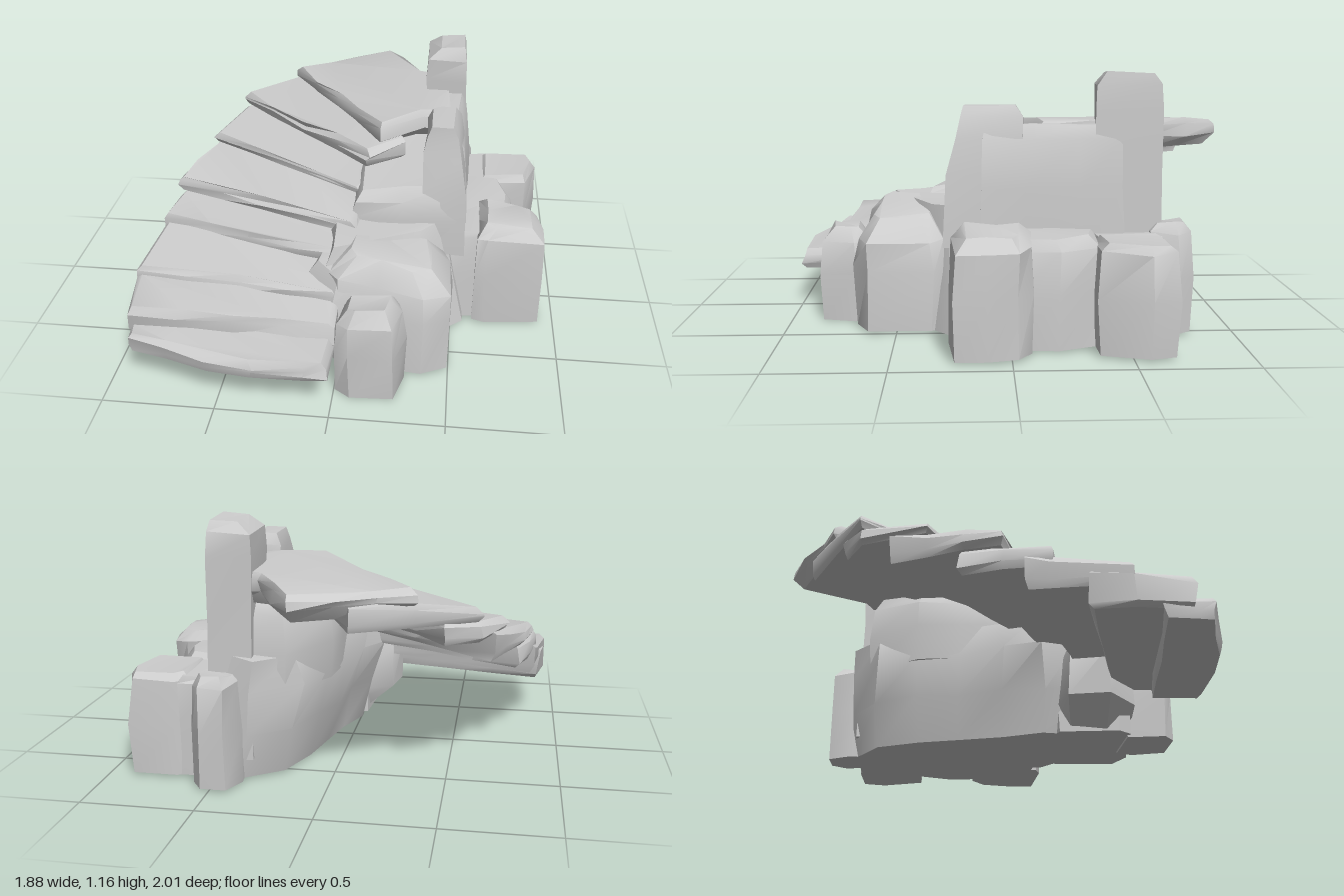
import * as THREE from 'three';
import { toCreasedNormals } from 'three/addons/utils/BufferGeometryUtils.js';

const stone = new THREE.MeshStandardMaterial({ color: 0xcccccc });

// seeded noise in -0.5..0.5
let seed = 7;
const noise = () => {
  seed = (seed * 16807) % 2147483647;
  return seed / 2147483647 - 0.5;
};

// Rough stone: an [x, z] outline lofted through rings { y, inset, dx, dz },
// slope tilts the upper rings as [base x, base z, rise per x, rise per z].
function stoneLoft(name, outline, rings, { rough = 0.02, cell = 0.22, slope = [0, 0, 0, 0] } = {}) {
  let pts = outline.map(([x, z]) => new THREE.Vector2(x, z));
  if (THREE.ShapeUtils.area(pts) < 0) pts.reverse();
  // split long edges and roughen them
  pts = pts.flatMap((p, i) => {
    const q = pts[(i + 1) % pts.length];
    const n = Math.max(1, Math.round(p.distanceTo(q) / cell));
    return Array.from({ length: n }, (_, k) => {
      const v = p.clone().lerp(q, k / n);
      return k ? v.add(new THREE.Vector2(noise() * rough * 1.5, noise() * rough * 1.5)) : v;
    });
  });
  const n = pts.length;
  const box = new THREE.Box2().setFromPoints(pts);
  const c = box.getCenter(new THREE.Vector2());
  const size = box.getSize(new THREE.Vector2());
  const pos = [], idx = [];
  rings.forEach(({ y, inset = 0, dx = 0, dz = 0 }, r) => {
    const kx = 1 - 2 * inset / size.x, kz = 1 - 2 * inset / size.y;
    pts.forEach(p => {
      const x = c.x + (p.x - c.x) * kx + dx, z = c.y + (p.y - c.y) * kz + dz;
      const wob = r === 0 ? 0 : rough;
      const tilt = r >= rings.length / 2 ? (x - slope[0]) * slope[2] + (z - slope[1]) * slope[3] : 0;
      pos.push(x + noise() * wob, y + tilt + noise() * wob, z + noise() * wob);
    });
  });
  for (let r = 0; r < rings.length - 1; r++) {
    for (let i = 0; i < n; i++) {
      const a = r * n + i, b = r * n + (i + 1) % n;
      idx.push(a, a + n, b, b, a + n, b + n);
    }
  }
  const top = (rings.length - 1) * n;
  THREE.ShapeUtils.triangulateShape(pts, []).forEach(([a, b, d]) => {
    idx.push(a, b, d, top + a, top + d, top + b);
  });
  const geo = new THREE.BufferGeometry();
  geo.setAttribute('position', new THREE.Float32BufferAttribute(pos, 3));
  geo.setIndex(idx);
  const mesh = new THREE.Mesh(toCreasedNormals(geo, 0.6), stone);
  mesh.name = name;
  return mesh;
}

// Boulder standing from y0 to y1 with a worn top edge
function boulder(name, outline, y0, y1, bevel = 0.05, opts = {}) {
  return stoneLoft(name, outline, [
    { y: y0, inset: 0.005 },
    { y: (y0 + y1) / 2 },
    { y: y1 - bevel, inset: 0.012 },
    { y: y1, inset: bevel }
  ], opts);
}

export function createModel() {
  seed = 7;
  const group = new THREE.Group();

  // Fan of steps: boundary lines from hub (inner) to rim (outer)
  const inner = [[0, 0.99], [0.0, 0.82], [0.0, 0.67], [0.0, 0.47], [0.05, 0.37], [0.05, 0.2], [0.08, 0.1], [0.15, 0.0], [0.38, -0.05]];
  const outer = [[-0.9, 0.87], [-0.91, 0.8], [-0.93, 0.56], [-0.89, 0.24], [-0.86, 0.04], [-0.75, -0.28], [-0.64, -0.57], [-0.38, -0.72], [0.1, -0.98]];
  const tops = [0.27, 0.35, 0.42, 0.51, 0.6, 0.69, 0.81];
  const bottoms = [0.18, 0.22, 0.32, 0.42, 0.53, 0.65, 0.74];
  const mix = (a, b, t) => [a[0] + (b[0] - a[0]) * t, a[1] + (b[1] - a[1]) * t];
  const steps = new THREE.Group();
  steps.name = 'steps';
  tops.forEach((top, i) => {
    // each slab runs on beneath the next one
    const outline = [inner[i], outer[i], outer[i + 1],
      mix(outer[i + 1], outer[i + 2], 0.55), mix(inner[i + 1], inner[i + 2], 0.4)];
    if (i === 0) outline.splice(1, 0, [-0.1, 1.0], [-0.53, 0.98]);
    // worn treads climb gently towards the next riser
    const front = mix(inner[i], outer[i], 0.6), back = mix(inner[i + 1], outer[i + 1], 0.6);
    const ex = back[0] - front[0], ez = back[1] - front[1], k = 0.035 / Math.max(0.06, ex * ex + ez * ez);
    steps.add(stoneLoft('step' + (i + 1), outline, [
      { y: bottoms[i], inset: 0.015 },
      { y: bottoms[i] + 0.03 },
      { y: top - 0.025 },
      { y: top, inset: 0.02 }
    ], { rough: 0.022, slope: [...front, ex * k, ez * k] }));
  });
  group.add(steps);

  // Landing at the top of the stair
  group.add(stoneLoft('landing',
    [[0.13, 0.02], [-0.38, -0.72], [-0.08, -0.91], [0.1, -1.0], [0.19, -0.84], [0.29, -0.66], [0.46, -0.6], [0.46, -0.14], [0.33, -0.12]], [
      { y: 0.8, inset: 0.06 }, { y: 0.85 }, { y: 0.9 }, { y: 0.925, inset: 0.025 }
    ], { slope: [0.1, -0.5, 0.05, 0.01] }));

  // Hub carrying the inner ends of the steps, flaring upwards
  group.add(stoneLoft('hub',
    [[-0.02, 0.6], [-0.04, 0.25], [0.08, -0.15], [0.2, -0.55], [0.4, -0.69], [0.55, -0.67], [0.55, 0.27], [0.4, 0.4]], [
      { y: 0.01, inset: 0.01, dx: 0.02 }, { y: 0.22, dx: -0.03 }, { y: 0.42, dx: -0.07 }, { y: 0.56, inset: 0.04, dx: -0.05, dz: -0.03 }
    ], { rough: 0.03 }));
  group.add(boulder('hubTop',
    [[0.02, 0.28], [0.02, 0.08], [0.04, -0.35], [0.2, -0.6], [0.52, -0.63], [0.52, 0.27]], 0.4, 0.74, 0.05,
    { slope: [0.3, 0, 0.05, -0.1] }));
  // leaning stone under the lower steps
  group.add(stoneLoft('hubFoot', [[-0.19, 0.55], [-0.15, 0.36], [0.1, 0.28], [0.12, 0.68], [-0.03, 0.68]], [
    { y: 0.01, inset: 0.03, dx: 0.13 }, { y: 0.14 }, { y: 0.36, inset: 0.005 }, { y: 0.48, inset: 0.05, dx: 0.03 }
  ]));

  // Wall with a raised post at each end
  group.add(stoneLoft('wall', [[0.42, 0.12], [0.42, -0.5], [0.55, -0.5], [0.55, 0.12]], [
    { y: 0.35, inset: -0.01 }, { y: 0.65 }, { y: 0.88, inset: 0.005, dx: -0.02 }, { y: 0.925, inset: 0.03, dx: -0.02 }
  ]));
  group.add(stoneLoft('tallPost', [[0.34, -0.39], [0.34, -0.66], [0.53, -0.67], [0.53, -0.38]], [
    { y: 0.1, inset: -0.005 }, { y: 0.7 }, { y: 1.0, dx: -0.01 }, { y: 1.1, dx: -0.01, inset: 0.005 }, { y: 1.155, inset: 0.035, dx: 0.01 }
  ]));
  group.add(stoneLoft('shortPost', [[0.34, 0.25], [0.34, -0.03], [0.44, -0.05], [0.54, -0.05], [0.54, 0.27]], [
    { y: 0.4, inset: -0.01, dz: 0.01 }, { y: 0.72, inset: -0.005 }, { y: 0.88, inset: 0.015, dx: -0.01, dz: -0.03 },
    { y: 0.96, inset: 0.025, dx: -0.015, dz: -0.035 }, { y: 1.01, inset: 0.045, dx: -0.02, dz: -0.03 }
  ]));

  // Boulders around the foot
  const boulders = new THREE.Group();
  boulders.name = 'boulders';
  boulders.add(
    boulder('frontSmallBoulder', [[0.0, 0.82], [0.02, 0.64], [0.28, 0.62], [0.31, 0.7], [0.27, 0.86], [0.07, 0.87]], 0, 0.43, 0.06),
    boulder('frontLargeBoulder', [[-0.05, 0.6], [-0.03, 0.32], [0.1, 0.26], [0.46, 0.27], [0.5, 0.34], [0.5, 0.63], [0.38, 0.69], [0.0, 0.66]],
      0.01, 0.56, 0.09, { slope: [0.1, 0.4, -0.15, -0.05] }),
    boulder('leftFrontBoulder', [[0.6, 0.25], [0.6, -0.1], [0.82, -0.09], [0.9, -0.03], [0.93, 0.1], [0.93, 0.24], [0.66, 0.27]],
      0.01, 0.52, 0.06, { slope: [0.75, 0.1, -0.1, 0] }),
    boulder('leftMiddleBoulder', [[0.5, 0.05], [0.5, -0.4], [0.73, -0.38], [0.8, -0.2], [0.78, 0.0]], 0.01, 0.48, 0.05),
    boulder('leftBackBoulder', [[0.62, -0.35], [0.62, -0.64], [0.68, -0.68], [0.89, -0.68], [0.92, -0.57], [0.86, -0.36]], 0.01, 0.48, 0.035),
    boulder('backBoulder', [[0.37, -0.7], [0.42, -0.81], [0.54, -0.81], [0.59, -0.74], [0.58, -0.6], [0.38, -0.6]], 0.01, 0.5, 0.04),
    boulder('backFill', [[0.5, -0.35], [0.5, -0.67], [0.68, -0.67], [0.68, -0.35]], 0.01, 0.46, 0.03),
    boulder('leftFill', [[0.48, 0.24], [0.48, -0.1], [0.65, -0.1], [0.65, 0.22]], 0.01, 0.48, 0.03)
  );
  group.add(boulders);
  return group;
}
